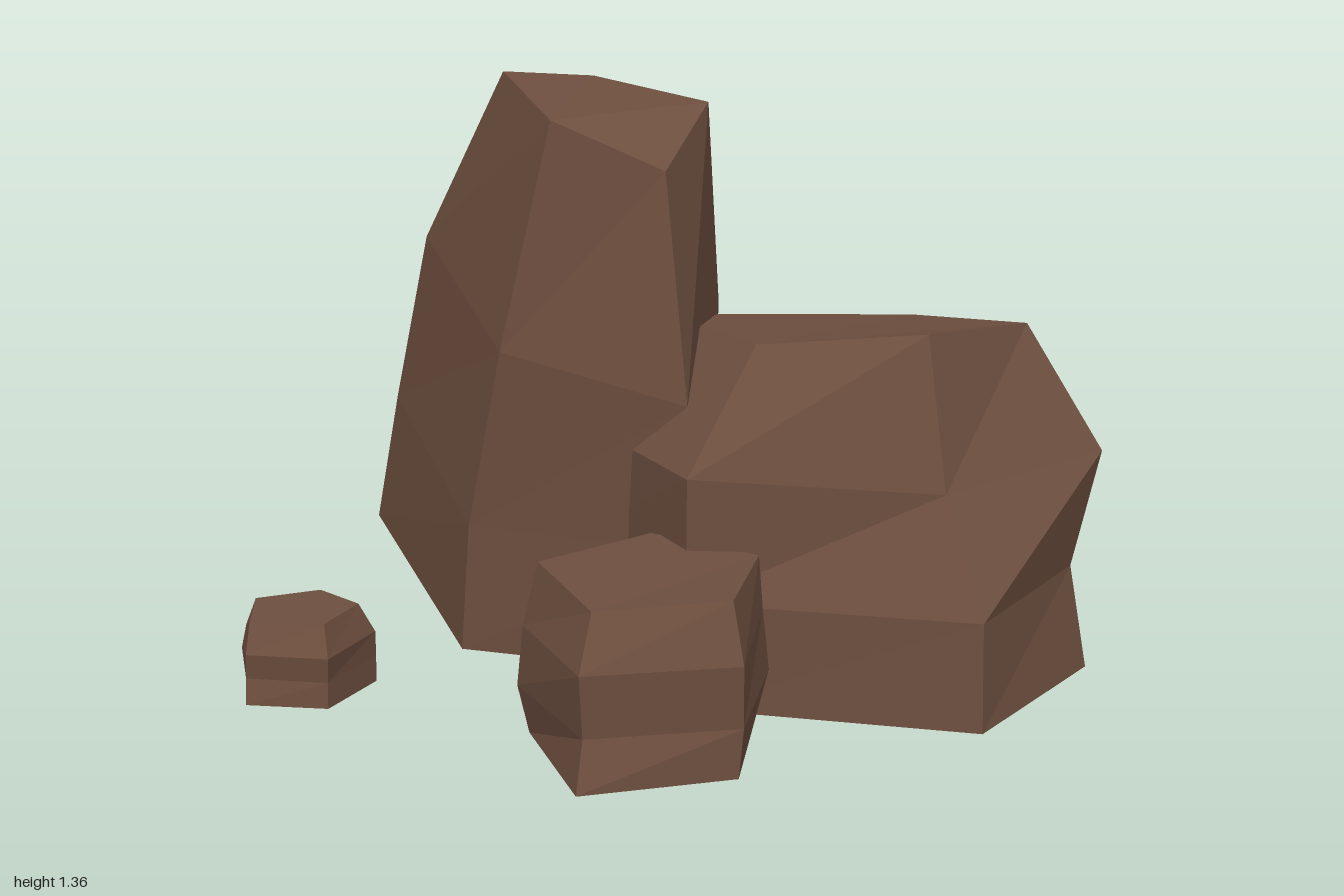
import * as THREE from 'three';

const stone = new THREE.MeshStandardMaterial({ color: 0x6e4f3f, flatShading: true, side: THREE.DoubleSide });
stone.name = 'brown stone';

// Joins rings of corners (bottom to top, counter-clockwise from above) into a faceted boulder.
function boulder(name, rings, closedBase = false) {
  const positions = [];
  const tri = (...corners) => corners.forEach((p) => positions.push(...p));
  for (let r = 0; r < rings.length - 1; r++) {
    const low = rings[r], high = rings[r + 1];
    low.forEach((a, i) => {
      const j = (i + 1) % low.length;
      tri(a, low[j], high[j]);
      tri(a, high[j], high[i]);
    });
  }
  const top = rings[rings.length - 1], base = rings[0];
  for (let i = 1; i < top.length - 1; i++) {
    tri(top[0], top[i], top[i + 1]);
    if (closedBase) tri(base[0], base[i + 1], base[i]);
  }
  const geometry = new THREE.BufferGeometry();
  geometry.setAttribute('position', new THREE.Float32BufferAttribute(positions, 3));
  geometry.computeVertexNormals();
  const mesh = new THREE.Mesh(geometry, stone);
  mesh.name = name;
  return mesh;
}

// Level ring of [x, z] corners at height y
const level = (y, corners) => corners.map(([x, z]) => [x, y, z]);

export function createModel() {
  const group = new THREE.Group();
  group.name = 'rockCluster';

  // Tall leaning rock: five sides, base lifted at the back
  group.add(boulder('tallRock', [
    [[-0.51, 0, 0.06], [0.05, 0, 0.17], [0.05, 0, -0.45], [-0.46, 0.12, -0.86], [-0.86, 0.12, -0.6]],
    [[-0.485, 0.315, 0.07], [0.05, 0.3, 0.18], [0.07, 0.4, -0.38], [-0.4, 0.48, -0.745], [-0.78, 0.475, -0.52]],
    [[-0.395, 0.75, 0.115], [0.045, 0.65, 0.19], [0.08, 0.8, -0.3], [-0.34, 1.005, -0.7], [-0.67, 0.92, -0.42]],
    [[-0.27, 1.285, 0.115], [-0.01, 1.175, 0.125], [0.065, 1.3, -0.145], [-0.235, 1.335, -0.375], [-0.43, 1.36, -0.21]],
  ], true));

  // Broad rock: six sides, narrower at the top
  group.add(boulder('broadRock', [
    level(0, [[0.06, 0.38], [0.715, 0.465], [0.975, 0.04], [0.58, -0.385], [0, -0.44], [-0.25, -0.08]]),
    level(0.25, [[0.06, 0.38], [0.71, 0.455], [0.93, 0.04], [0.58, -0.385], [-0.01, -0.545], [-0.25, -0.08]]),
    [[0.06, 0.535, 0.38], [0.625, 0.505, 0.345], [0.99, 0.53, 0.04], [0.615, 0.57, -0.395], [0.12, 0.57, -0.41], [-0.24, 0.54, -0.08]],
    [[0.2, 0.8, 0.2], [0.58, 0.845, 0.265], [0.81, 0.82, 0.01], [0.555, 0.765, -0.315], [0.15, 0.755, -0.33], [-0.04, 0.79, -0.14]],
  ]));

  // Small front rock
  group.add(boulder('frontRock', [
    level(0, [[-0.125, 0.86], [0.2, 0.745], [0.2, 0.4], [-0.11, 0.26], [-0.27, 0.545]]),
    level(0.11, [[-0.115, 0.825], [0.21, 0.74], [0.245, 0.4], [-0.1, 0.25], [-0.295, 0.545]]),
    level(0.25, [[-0.12, 0.835], [0.21, 0.75], [0.23, 0.4], [-0.11, 0.25], [-0.28, 0.55]]),
    [[-0.1, 0.37, 0.78], [0.185, 0.38, 0.715], [0.22, 0.37, 0.39], [-0.03, 0.375, 0.27], [-0.245, 0.395, 0.55]],
  ]));

  // Pebble standing apart
  group.add(boulder('pebble', [
    level(0, [[-0.93, 0.45], [-0.74, 0.455], [-0.67, 0.28], [-0.82, 0.17], [-0.98, 0.26]]),
    level(0.06, [[-0.93, 0.44], [-0.74, 0.45], [-0.67, 0.275], [-0.82, 0.16], [-0.995, 0.25]]),
    level(0.12, [[-0.925, 0.45], [-0.735, 0.46], [-0.67, 0.275], [-0.82, 0.16], [-0.98, 0.255]]),
    level(0.19, [[-0.92, 0.425], [-0.75, 0.425], [-0.705, 0.285], [-0.815, 0.2], [-0.95, 0.27]]),
  ]));

  return group;
}
